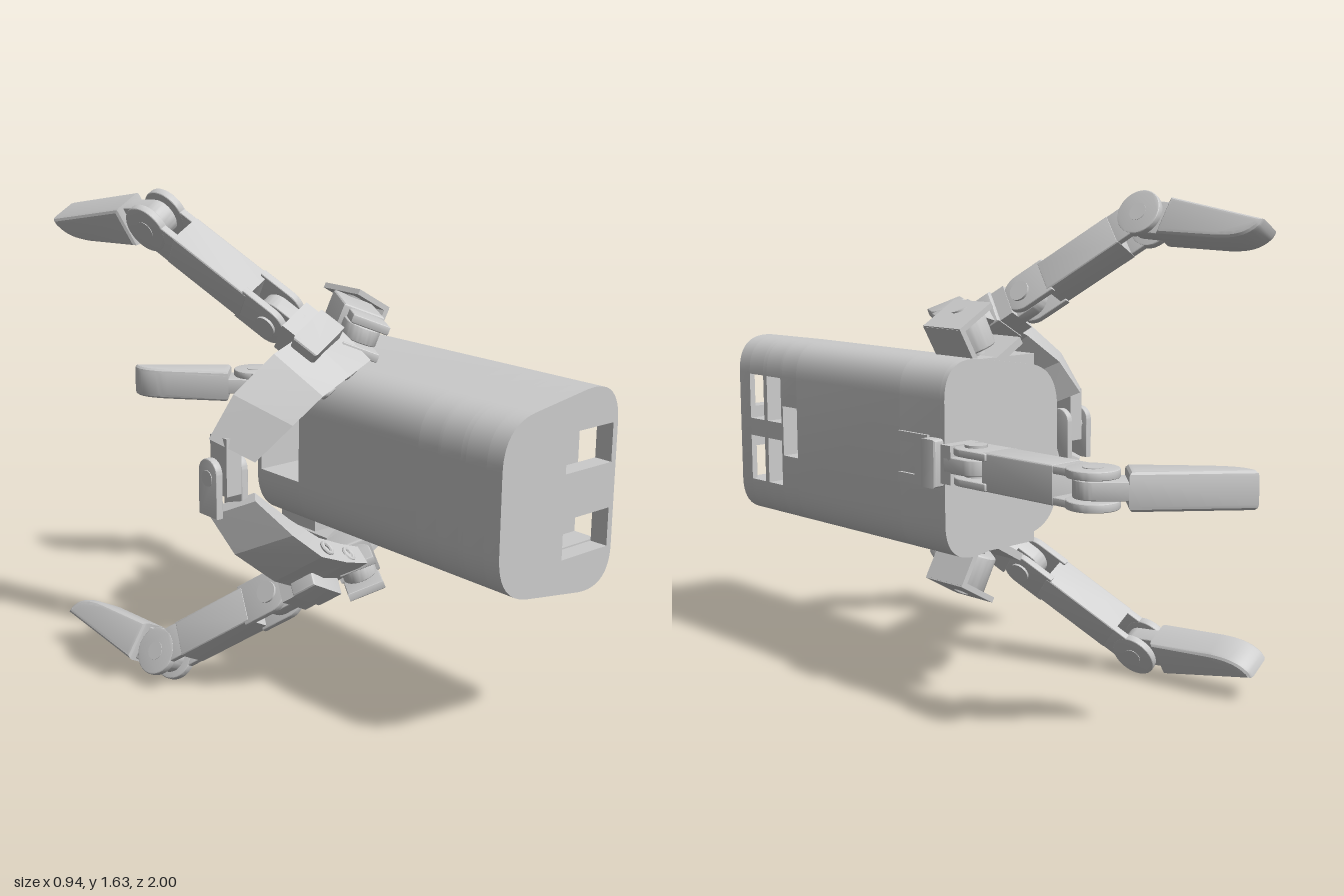
import * as THREE from 'three';
import { toCreasedNormals } from 'three/addons/utils/BufferGeometryUtils.js';

const MID = 0.81; // height of the mirror plane
const material = new THREE.MeshStandardMaterial({ color: 0xcccccc });
const V = (x, y, z) => new THREE.Vector3(x, y, z);

function part(parent, name, geometry, crease = 0.5) {
  const mesh = new THREE.Mesh(toCreasedNormals(geometry, crease), material);
  mesh.name = name;
  parent.add(mesh);
  return mesh;
}

// Flat outline in XY, extruded to a width centred on local z
function slab(shape, width, bevel = 0) {
  const depth = width - 2 * bevel;
  return new THREE.ExtrudeGeometry(shape, {
    depth, bevelEnabled: bevel > 0, bevelSize: bevel, bevelThickness: bevel,
    bevelOffset: -bevel, bevelSegments: 3, curveSegments: 12,
  }).translate(0, 0, -depth / 2);
}

// Rounded-end bar from x0 to x1
function bar(x0, x1, r, roundStart, roundEnd) {
  const s = new THREE.Shape();
  s.moveTo(x0, -r);
  s.lineTo(x1, -r);
  if (roundEnd) s.absarc(x1, 0, r, -Math.PI / 2, Math.PI / 2, false);
  else s.lineTo(x1, r);
  s.lineTo(x0, r);
  if (roundStart) s.absarc(x0, 0, r, Math.PI / 2, Math.PI * 1.5, false);
  return s;
}

const rect = (x0, x1, y0, y1) => new THREE.Shape([
  new THREE.Vector2(x0, y0), new THREE.Vector2(x1, y0),
  new THREE.Vector2(x1, y1), new THREE.Vector2(x0, y1)]);

const box = (w, h, d, x, y, z) => new THREE.BoxGeometry(w, h, d).translate(x, y, z);

// Frame with x along dir and y turned towards side
function frame(origin, dir, side) {
  const x = dir.clone().normalize();
  const z = x.clone().cross(side).normalize();
  return new THREE.Matrix4().makeBasis(x, z.clone().cross(x), z).setPosition(origin);
}

// Mirrored copy across y = MID, with the triangles turned back outwards
function mirrored(group, name) {
  const out = new THREE.Group();
  out.name = name;
  for (const child of group.children) {
    const g = child.geometry.clone();
    g.scale(1, -1, 1).translate(0, 2 * MID, 0);
    for (const key of Object.keys(g.attributes)) {
      const { array: a, itemSize: n } = g.attributes[key];
      for (let i = 0; i < a.length; i += 3 * n)
        for (let k = 0; k < n; k++) [a[i + n + k], a[i + 2 * n + k]] = [a[i + 2 * n + k], a[i + n + k]];
    }
    const mesh = new THREE.Mesh(g, material);
    mesh.name = child.name;
    out.add(mesh);
  }
  return out;
}

// Body section, with optional notches cut into the right and left faces
function bodySection(right, left) {
  const s = new THREE.Shape();
  s.moveTo(-0.045, 0.93);
  s.quadraticCurveTo(-0.045, 1.065, 0.08, 1.085);
  s.lineTo(0.3, 1.118);
  s.bezierCurveTo(0.4, 1.13, 0.44, 1.08, 0.44, 1.0);
  for (const [y1, y0, x] of right) {
    s.lineTo(0.44, y1); s.lineTo(x, y1); s.lineTo(x, y0); s.lineTo(0.44, y0);
  }
  s.lineTo(0.44, 0.62);
  s.bezierCurveTo(0.44, 0.54, 0.4, 0.49, 0.3, 0.502);
  s.lineTo(0.08, 0.535);
  s.quadraticCurveTo(-0.045, 0.555, -0.045, 0.69);
  if (left) {
    s.lineTo(-0.045, 0.7); s.lineTo(0.14, 0.7); s.lineTo(0.14, 0.92); s.lineTo(-0.045, 0.92);
  }
  return s;
}

function addBody(parent) {
  const body = new THREE.Group();
  body.name = 'body';
  parent.add(body);
  const pair = [[0.995, 0.84, 0.22], [0.78, 0.625, 0.22]];
  const slabs = [ // z from, z to, right notches, left notch, front slots
    [-0.08, -0.06, [], false], [-0.06, 0.13, [], true], [0.13, 0.67, [], false],
    [0.67, 0.75, [[0.9, 0.73, 0.32]], false], [0.75, 0.76, [], false],
    [0.76, 0.84, pair, false], [0.84, 0.86, [], false],
    [0.86, 0.94, pair, false], [0.94, 1.0, [], false, true],
  ];
  for (const [z0, z1, right, left, slots] of slabs) {
    const s = bodySection(right, left);
    if (slots) s.holes.push(rect(0.22, 0.42, 0.88, 1.0), rect(0.22, 0.42, 0.62, 0.74));
    part(body, 'bodySection', slab(s, z1 - z0).translate(0, 0, (z0 + z1) / 2));
  }
}

// Two-joint finger: origin at the base joint, bending towards local +y
function addFinger(parent, matrix) {
  const L = 0.48;
  const add = (name, g) => part(parent, name, g.applyMatrix4(matrix));
  add('fingerBase', box(0.07, 0.12, 0.12, -0.085, 0, 0));
  add('baseTongue', slab(bar(-0.08, 0, 0.06, false, true), 0.05, 0.005));
  add('basePin', new THREE.CylinderGeometry(0.035, 0.035, 0.13, 20).rotateX(Math.PI / 2));
  add('fingerLink', slab(bar(0.09, 0.38, 0.06), 0.118, 0.008));
  for (const z of [-0.045, 0.045]) {
    add('baseCheek', slab(bar(0, 0.11, 0.068, true, false), 0.024, 0.005).translate(0, 0, z));
    add('knuckleArm', slab(bar(0.36, L, 0.058), 0.024, 0.005).translate(0, 0, z));
    add('knuckleDisc', slab(bar(L, L + 0.001, 0.078, true, true), 0.026, 0.005).translate(0, 0, z));
  }
  add('knucklePin', new THREE.CylinderGeometry(0.03, 0.03, 0.12, 20).rotateX(Math.PI / 2).translate(L, 0, 0));
  // fingertip with a straight back and a rounded pad
  const tip = new THREE.Shape();
  tip.moveTo(0.1, -0.067);
  tip.lineTo(0.46, -0.022);
  tip.lineTo(0.455, 0);
  tip.bezierCurveTo(0.43, 0.04, 0.39, 0.055, 0.32, 0.06);
  tip.lineTo(0.09, 0.067);
  const bend = g => g.rotateZ(0.75).translate(L, 0, 0);
  add('fingertip', bend(slab(tip, 0.116, 0.018)));
  add('fingertipTongue', bend(slab(bar(0, 0.13, 0.058, true, false), 0.055, 0.005)));
}

// Curved palm arm, a four-sided section swept through the stations
function palmArm() {
  const st = [ // outer edge, front ridge, inner edge
    [V(-0.45, 0.93, 0.2), V(-0.37, 0.87, 0.32), V(-0.31, 0.875, 0.24)],
    [V(-0.38, 1.06, 0.23), V(-0.28, 0.98, 0.385), V(-0.22, 0.965, 0.3)],
    [V(-0.25, 1.17, 0.26), V(-0.19, 1.06, 0.415), V(-0.13, 1.035, 0.33)],
    [V(-0.14, 1.22, 0.27), V(-0.08, 1.105, 0.41), V(-0.04, 1.075, 0.33)],
    [V(-0.02, 1.245, 0.25), V(0.02, 1.135, 0.39), V(0.05, 1.11, 0.31)],
  ];
  const pos = [], idx = [];
  for (const [o, r, i] of st) {
    const back = o.clone().add(i).sub(r).lerp(r, 0.12);
    for (const p of [o, r, i, back]) pos.push(p.x, p.y, p.z);
  }
  for (let s = 0; s < st.length - 1; s++)
    for (let k = 0; k < 4; k++) {
      const a = s * 4 + k, b = s * 4 + (k + 1) % 4;
      idx.push(a, b, b + 4, a, b + 4, a + 4);
    }
  const e = (st.length - 1) * 4;
  idx.push(0, 3, 2, 0, 2, 1, e, e + 1, e + 2, e, e + 2, e + 3);
  const g = new THREE.BufferGeometry();
  g.setAttribute('position', new THREE.Float32BufferAttribute(pos, 3));
  g.setIndex(idx);
  return g;
}

function addArm(arm) {
  part(arm, 'palmArm', palmArm(), 0.2);

  // screw rings on the inner face of the arm
  const face = V(0.45, -0.75, 0.55).normalize();
  for (const p of [V(-0.135, 1.055, 0.375), V(-0.04, 1.098, 0.367)]) {
    const turn = new THREE.Matrix4().makeRotationFromQuaternion(
      new THREE.Quaternion().setFromUnitVectors(V(0, 0, 1), face)).setPosition(p);
    part(arm, 'screwRing', new THREE.TorusGeometry(0.02, 0.007, 8, 20).applyMatrix4(turn));
  }

  // shoulder link between the arm and the body, turning about a tilted axis
  const axis = V(0.42, 0.9, 0).normalize();
  const pivot = V(0.25, 1.19, 0.02), elbow = V(0.07, 1.195, 0.29);
  const dir = elbow.clone().sub(pivot), len = dir.length();
  const m = frame(pivot, dir, axis.clone().cross(dir));
  part(arm, 'shoulderLink', slab(bar(0, len - 0.07, 0.068, true, false), 0.125, 0.01).applyMatrix4(m));
  part(arm, 'shoulderPin', new THREE.CylinderGeometry(0.028, 0.028, 0.155, 20).rotateX(Math.PI / 2).applyMatrix4(m));
  part(arm, 'elbowTongue', slab(bar(len - 0.1, len, 0.055, false, true), 0.05, 0.005).applyMatrix4(m));
  for (const z of [-0.045, 0.045])
    part(arm, 'elbowCheek', slab(bar(len, len + 0.09, 0.06, true, false), 0.028, 0.005).translate(0, 0, z).applyMatrix4(m));

  // channel bracket fixed to the body
  const tilt = g => g.rotateZ(-0.52).translate(0.25, 1.17, 0.015);
  part(arm, 'bracketTop', tilt(box(0.15, 0.018, 0.17, 0.005, 0.085, 0)));
  part(arm, 'bracketSide', tilt(box(0.018, 0.17, 0.17, 0.072, 0.005, 0)));
  part(arm, 'bracketBase', tilt(box(0.2, 0.025, 0.17, -0.02, -0.08, 0)));
  part(arm, 'bracketFoot', box(0.24, 0.05, 0.17, 0.17, 1.09, 0.015));

  // finger and its mount
  const d1 = V(-0.396, 0.554, -0.733).normalize(), d2 = V(-0.09, -0.09, -0.99);
  const f = frame(V(-0.355, 1.53, -0.18).addScaledVector(d1, -0.48), d1, d2);
  part(arm, 'fingerMount', slab(bar(-0.19, -0.1, 0.065), 0.15, 0.01).applyMatrix4(f));
  addFinger(arm, f);
}

export function createModel() {
  const model = new THREE.Group();
  model.name = 'gripperHand';
  addBody(model);

  const upper = new THREE.Group();
  upper.name = 'upperArm';
  addArm(upper);
  model.add(upper, mirrored(upper, 'lowerArm'));

  // hinge joining the two palm arms
  const hinge = new THREE.Group();
  hinge.name = 'palmHinge';
  model.add(hinge);
  part(hinge, 'hingeTongue', box(0.055, 0.18, 0.08, -0.395, 0.845, 0.21));
  part(hinge, 'hingePin', new THREE.CylinderGeometry(0.025, 0.025, 0.12, 16).rotateZ(Math.PI / 2).translate(-0.4, MID, 0.2));
  for (const x of [-0.445, -0.35])
    part(hinge, 'hingeCheek', slab(bar(-0.12, 0.015, 0.045, false, true), 0.025, 0.004)
      .rotateZ(Math.PI / 2).rotateY(Math.PI / 2).translate(x, MID, 0.2));

  // thumb with its mount on the right face of the body
  const thumb = new THREE.Group();
  thumb.name = 'thumb';
  model.add(thumb);
  part(thumb, 'thumbMount', slab(rect(0.4, 0.478, 0.735, 0.885), 0.07, 0.012).translate(0, 0, -0.04));
  for (const y of [0.745, 0.875])
    part(thumb, 'mountProng', box(0.02, 0.03, 0.14, 0.44, y, 0.06));
  part(thumb, 'mountPlate', box(0.02, 0.15, 0.06, 0.44, MID, 0.02));
  addFinger(thumb, frame(V(0.393, MID, -0.17), V(0, 0, -1), V(-1, 0, 0)));
  return model;
}
